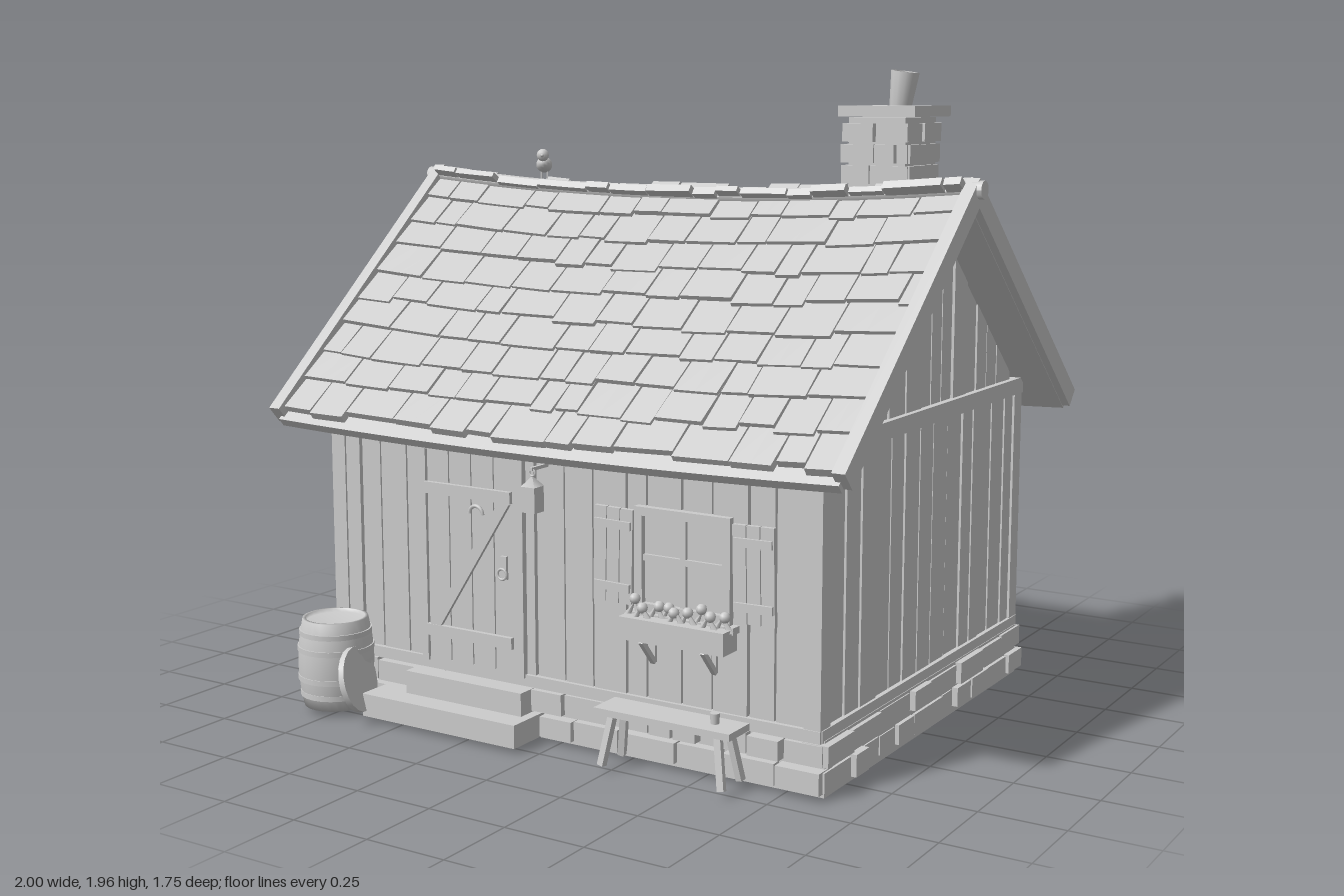
import * as THREE from 'three';
import { mergeGeometries } from 'three/addons/utils/BufferGeometryUtils.js';

const clay = new THREE.MeshStandardMaterial({ color: 0xcccccc });
clay.name = 'clay grey';

const MID = -0.045, SLOPE = 0.867, PITCH = Math.atan(SLOPE);

let seed = 7;
const rnd = (a = 0, b = 1) => {
  seed = (seed * 16807) % 2147483647;
  return a + (b - a) * (seed / 2147483647);
};

// Box given by its min and max corners
const slab = (x0, x1, y0, y1, z0, z1) =>
  new THREE.BoxGeometry(x1 - x0, y1 - y0, z1 - z0).translate((x0 + x1) / 2, (y0 + y1) / 2, (z0 + z1) / 2);

// Square bar between two points
function bar(a, b, w, d = w) {
  const p = new THREE.Vector3(...a), q = new THREE.Vector3(...b), dir = q.clone().sub(p);
  const g = new THREE.BoxGeometry(w, dir.length(), d);
  g.applyQuaternion(new THREE.Quaternion().setFromUnitVectors(new THREE.Vector3(0, 1, 0), dir.normalize()));
  const m = p.add(q).multiplyScalar(0.5);
  return g.translate(m.x, m.y, m.z);
}

// Split a length into random pieces
function pieces(from, to, min, max, fn) {
  for (let a = from; a < to - 1e-4;) {
    let b = a + rnd(min, max);
    if (to - b < min * 0.6) b = to;
    fn(a, b);
    a = b;
  }
}

// Move the vertices of a geometry by a rule
function warp(g, rule) {
  const p = g.attributes.position, v = new THREE.Vector3();
  for (let i = 0; i < p.count; i++) {
    rule(v.fromBufferAttribute(p, i));
    p.setXYZ(i, v.x, v.y, v.z);
  }
  g.computeVertexNormals();
  return g;
}

// The old roof sags in the middle, most at the ridge
const sag = v => {
  const d = Math.min(1, Math.abs(v.z - MID) / 0.82);
  v.y -= 0.045 * (1 - 0.6 * d) * (1 - Math.min(1, (v.x / 0.97) ** 2));
};

// Outline in z and y, extruded along x
function gableExtrude(points, x0, x1) {
  const s = new THREE.Shape(points.map(p => new THREE.Vector2(...p)));
  return new THREE.ExtrudeGeometry(s, { depth: x1 - x0, bevelEnabled: false })
    .rotateY(Math.PI / 2).translate(x0, 0, MID);
}

export function createModel() {
  const house = new THREE.Group();
  house.name = 'cottage';
  const add = (name, geos, parent = house) => {
    const list = [].concat(geos).map(g => (g.index ? g.toNonIndexed() : g));
    const m = new THREE.Mesh(mergeGeometries(list), clay);
    m.name = name;
    parent.add(m);
    return m;
  };

  add('foundation', slab(-0.86, 0.86, 0, 0.16, -0.725, 0.63));
  add('wallCore', gableExtrude([[-0.668, 0.15], [0.668, 0.15], [0.668, 0.96], [0, 1.54], [-0.668, 0.96]], -0.832, 0.832));

  // Four walls, each built facing +z and turned into place
  const sides = [
    { name: 'front', rot: 0, x: 0, z: 0.623, half: 0.855, stones: true },
    { name: 'back', rot: Math.PI, x: 0, z: -0.713, half: 0.855 },
    { name: 'left', rot: Math.PI / 2, x: 0.832, z: MID, half: 0.685, stones: true, gable: true },
    { name: 'right', rot: -Math.PI / 2, x: -0.832, z: MID, half: 0.685, stones: true, gable: true },
  ];
  for (const s of sides) {
    const g = new THREE.Group();
    g.name = s.name + 'Wall';
    g.position.set(s.x, 0, s.z);
    g.rotation.y = s.rot;
    house.add(g);
    const boards = [];
    pieces(-s.half + 0.05, s.half - 0.05, 0.06, 0.12, (a, b) =>
      boards.push(slab(a + 0.003, b - 0.004, 0.18, 0.96, -0.01, rnd(0.01, 0.018))));
    if (s.gable) pieces(-0.62, 0.62, 0.07, 0.12, (a, b) =>
      boards.push(warp(slab(a + 0.003, b - 0.004, 0.96, 1.2, -0.01, rnd(0.008, 0.014)),
        v => { if (v.y > 1) v.y = Math.max(0.965, 1.545 - 0.88 * Math.abs(v.x)); })));
    add('boards', boards, g);
    const beams = [slab(-s.half, s.half, 0.155, 0.19, -0.02, 0.026)];
    for (const k of [-1, 1]) {
      const c = k * (s.half - 0.026);
      beams.push(slab(c - 0.026, c + 0.026, 0.16, 0.965, -0.03, 0.023));
    }
    if (s.gable) beams.push(slab(-s.half, s.half, 0.93, 0.98, -0.02, 0.03));
    add('beams', beams, g);
    if (!s.stones) continue;
    const stones = [];
    for (const y of [0.015, 0.088]) pieces(-s.half - 0.015, s.half + 0.015, 0.08, 0.21, (a, b) =>
      stones.push(slab(a + 0.005, b - 0.005, y + rnd(0, 0.008), y + rnd(0.06, 0.068), -0.03, rnd(0.03, 0.052))));
    add('foundationStones', stones, g);
  }

  // Roof deck and overlapping shingles
  const deck = [], shingles = [];
  for (const k of [-1, 1]) {
    deck.push(warp(new THREE.BoxGeometry(1.92, 0.03, 1.06, 20, 1, 4).rotateX(k * PITCH)
      .translate(0, 1.578 - SLOPE * 0.4, MID + k * 0.4), sag));
    for (let r = 0; r < 9; r++) {
      const d = 0.775 - r * 0.089;
      pieces(-0.95, 0.95, 0.08, 0.2, (a, b) => {
        const c = d - 0.042 + rnd(-0.012, 0.008);
        const g = new THREE.BoxGeometry(b - a - 0.006, rnd(0.018, 0.026), 0.15, 2, 1, 1)
          .rotateY(rnd(-0.03, 0.03)).rotateX(k * (PITCH - 0.09));
        shingles.push(warp(g.translate((a + b) / 2, 1.607 - SLOPE * c, MID + k * c), sag));
      });
    }
  }
  add('roofDeck', deck);
  add('shingles', shingles);
  const chevron = [[-0.825, 0.93], [-0.782, 0.882], [0, 1.56], [0.782, 0.882], [0.825, 0.93], [0, 1.645]];
  add('bargeBoards', [gableExtrude(chevron, 0.945, 0.985), gableExtrude(chevron, -0.985, -0.945)]);
  add('ridgePole', warp(new THREE.CylinderGeometry(0.027, 0.027, 2, 12, 24).rotateZ(Math.PI / 2)
    .translate(0, 1.612, MID), sag));

  // Mossy lumps on the back slope
  for (const [x, z] of [[0.22, -0.8], [0.36, -0.67], [-0.44, -0.41]]) {
    const m = add('mossLump', new THREE.SphereGeometry(1, 16, 10).scale(0.068, 0.025, 0.05));
    m.position.set(x, 1.615 - SLOPE * (MID - z), z);
    m.rotation.x = -PITCH;
  }

  // Chimney, bricked on three sides
  add('chimneyCore', slab(0.455, 0.645, 1.1, 1.81, -0.492, -0.27));
  const bricks = [];
  for (let y = 1.16; y < 1.79; y += 0.064) {
    const top = y + 0.056;
    pieces(0.44, 0.66, 0.06, 0.13, (a, b) => bricks.push(slab(a + 0.003, b - 0.003, y, top, -0.3, rnd(-0.262, -0.248))));
    pieces(-0.495, -0.262, 0.07, 0.13, (a, b) => {
      bricks.push(slab(0.62, rnd(0.652, 0.668), y, top, a + 0.003, b - 0.003));
      bricks.push(slab(rnd(0.428, 0.445), 0.48, y, top, a + 0.003, b - 0.003));
    });
  }
  add('chimneyBricks', bricks);
  add('chimneyCap', slab(0.428, 0.685, 1.812, 1.845, -0.512, -0.248));
  const pot = add('chimneyPot', new THREE.LatheGeometry(
    [[0.034, 0], [0.044, 0.11], [0.034, 0.11], [0.028, 0.02], [0, 0.02]].map(p => new THREE.Vector2(...p)), 12));
  pot.position.set(0.57, 1.84, -0.39);
  pot.rotation.z = -0.14;

  // Windows
  function makeWindow(name, x, y, z, rot, shutters) {
    const g = new THREE.Group(), w = 0.155, h = 0.15;
    g.name = name;
    g.position.set(x, y, z);
    g.rotation.y = rot;
    house.add(g);
    add('panes', slab(-w, w, -h, h, -0.01, 0.002), g);
    const f = [slab(-w, w, h - 0.025, h, 0, 0.02), slab(-w, w, -h, -h + 0.025, 0, 0.02),
      slab(-0.009, 0.009, -h, h, 0, 0.012), slab(-w, w, -0.004, 0.014, 0, 0.012),
      slab(-w - 0.02, w + 0.02, -h - 0.02, -h, -0.01, 0.035)];
    for (const k of [-1, 1]) f.push(slab(k * (w - 0.0125) - 0.0125, k * (w - 0.0125) + 0.0125, -h, h, 0, 0.02));
    add('frame', f, g);
    if (shutters) for (const k of [-1, 1]) {
      const s = [];
      for (let i = 0; i < 3; i++) s.push(slab(-0.065 + i * 0.044, -0.024 + i * 0.044, -0.137, 0.137, 0, 0.014));
      for (const b of [-0.09, 0.09]) s.push(slab(-0.06, 0.06, b - 0.012, b + 0.012, 0.01, 0.022));
      const m = add('shutter', s, g);
      m.position.set(k * 0.228, 0, 0.004);
      m.rotation.z = k * 0.02;
    }
  }
  makeWindow('frontWindow', 0.425, 0.595, 0.64, 0, true);
  makeWindow('backWindow', 0.03, 0.575, -0.73, Math.PI, false);
  makeWindow('sideWindow', -0.85, 0.59, -0.25, -Math.PI / 2, true);

  // Flower box with brackets and plants
  add('flowerBox', [slab(0.255, 0.595, 0.375, 0.44, 0.645, 0.72),
    ...[0.325, 0.525].flatMap(x => [bar([x, 0.3, 0.645], [x, 0.375, 0.71], 0.014), slab(x - 0.007, x + 0.007, 0.3, 0.38, 0.635, 0.65)])]);
  const plants = [];
  for (let i = 0; i < 9; i++) {
    const x = 0.28 + i * 0.036, z = rnd(0.665, 0.7);
    plants.push(new THREE.SphereGeometry(0.016, 8, 6).translate(x + rnd(-0.01, 0.01), rnd(0.465, 0.485), z));
    for (const k of [-1, 1]) plants.push(new THREE.ConeGeometry(0.012, 0.06, 5).rotateZ(k * 0.5).translate(x + k * 0.01, 0.455, z));
  }
  add('flowers', plants);

  // Door with Z brace, latch and horseshoe
  const door = [];
  for (let i = 0; i < 4; i++) door.push(slab(-0.475 + i * 0.083, -0.396 + i * 0.083, 0.19, 0.835, 0.63, 0.65));
  add('doorPlanks', door);
  add('doorFrame', [slab(-0.5, -0.12, 0.835, 0.86, 0.63, 0.66), slab(-0.5, -0.478, 0.18, 0.84, 0.63, 0.657), slab(-0.142, -0.12, 0.18, 0.84, 0.63, 0.657)]);
  add('doorBrace', [slab(-0.478, -0.16, 0.7, 0.735, 0.64, 0.664), slab(-0.478, -0.16, 0.262, 0.297, 0.64, 0.664),
    bar([-0.45, 0.29, 0.655], [-0.18, 0.705, 0.655], 0.034, 0.014)]);
  add('doorLatch', [slab(-0.2, -0.178, 0.47, 0.54, 0.645, 0.66), new THREE.TorusGeometry(0.016, 0.004, 6, 14).translate(-0.189, 0.488, 0.666)]);
  add('horseshoe', new THREE.TorusGeometry(0.024, 0.006, 6, 12, Math.PI).translate(-0.29, 0.655, 0.655));

  // Hanging lantern
  add('lantern', [bar([-0.045, 0.825, 0.63], [-0.045, 0.825, 0.715], 0.01), slab(-0.068, -0.022, 0.7, 0.775, 0.684, 0.73),
    new THREE.ConeGeometry(0.034, 0.03, 4).rotateY(Math.PI / 4).translate(-0.045, 0.79, 0.707),
    new THREE.TorusGeometry(0.01, 0.003, 6, 10).translate(-0.045, 0.814, 0.707)]);

  // Door steps
  add('steps', [slab(-0.63, -0.06, 0.015, 0.085, 0.64, 0.79), slab(-0.52, -0.09, 0.085, 0.155, 0.64, 0.715)]);

  // Bench with splayed legs
  const bench = [slab(0.21, 0.65, 0.165, 0.185, 0.67, 0.78)];
  for (const x of [0.26, 0.6]) for (const k of [-1, 1])
    bench.push(bar([x, 0.17, 0.725 + k * 0.03], [x + Math.sign(x - 0.43) * 0.025, 0.02, 0.725 + k * 0.052], 0.02));
  add('bench', bench);
  add('mug', new THREE.CylinderGeometry(0.014, 0.012, 0.03, 12).translate(0.57, 0.2, 0.72));

  // Barrel with hoops and a leaning lid
  const bulge = y => 0.1 + 0.016 * (1 - ((y - 0.155) / 0.137) ** 2);
  const stave = [[0, 0.018], ...[0.018, 0.07, 0.11, 0.155, 0.2, 0.24, 0.292].map(y => [bulge(y), y]), [0.09, 0.292], [0.09, 0.28], [0, 0.28]];
  const barrel = [new THREE.LatheGeometry(stave.map(p => new THREE.Vector2(...p)), 24)];
  for (const y of [0.06, 0.11, 0.2, 0.25])
    barrel.push(new THREE.CylinderGeometry(bulge(y) + 0.003, bulge(y) + 0.003, 0.016, 24).translate(0, y, 0));
  add('barrel', barrel).position.set(-0.78, 0, 0.735);
  const lid = add('barrelLid', new THREE.CylinderGeometry(0.1, 0.1, 0.018, 20));
  lid.position.set(-0.65, 0.125, 0.785);
  lid.rotation.set(0, 0.25, -Math.PI / 2 + 0.25);

  // Small bird on the ridge
  const bird = add('bird', [
    new THREE.SphereGeometry(1, 14, 10).scale(0.026, 0.025, 0.04).rotateX(-0.2),
    new THREE.SphereGeometry(0.02, 12, 8).translate(0, 0.032, 0.036),
    new THREE.ConeGeometry(0.007, 0.022, 6).rotateX(Math.PI / 2).translate(0, 0.031, 0.063),
    slab(-0.012, 0.012, -0.012, -0.004, -0.075, -0.025),
    slab(-0.012, -0.007, -0.045, -0.01, -0.003, 0.003), slab(0.007, 0.012, -0.045, -0.01, -0.003, 0.003)]);
  bird.position.set(-0.54, 1.653, -0.055);
  bird.rotation.y = 0.5;

  return house;
}
